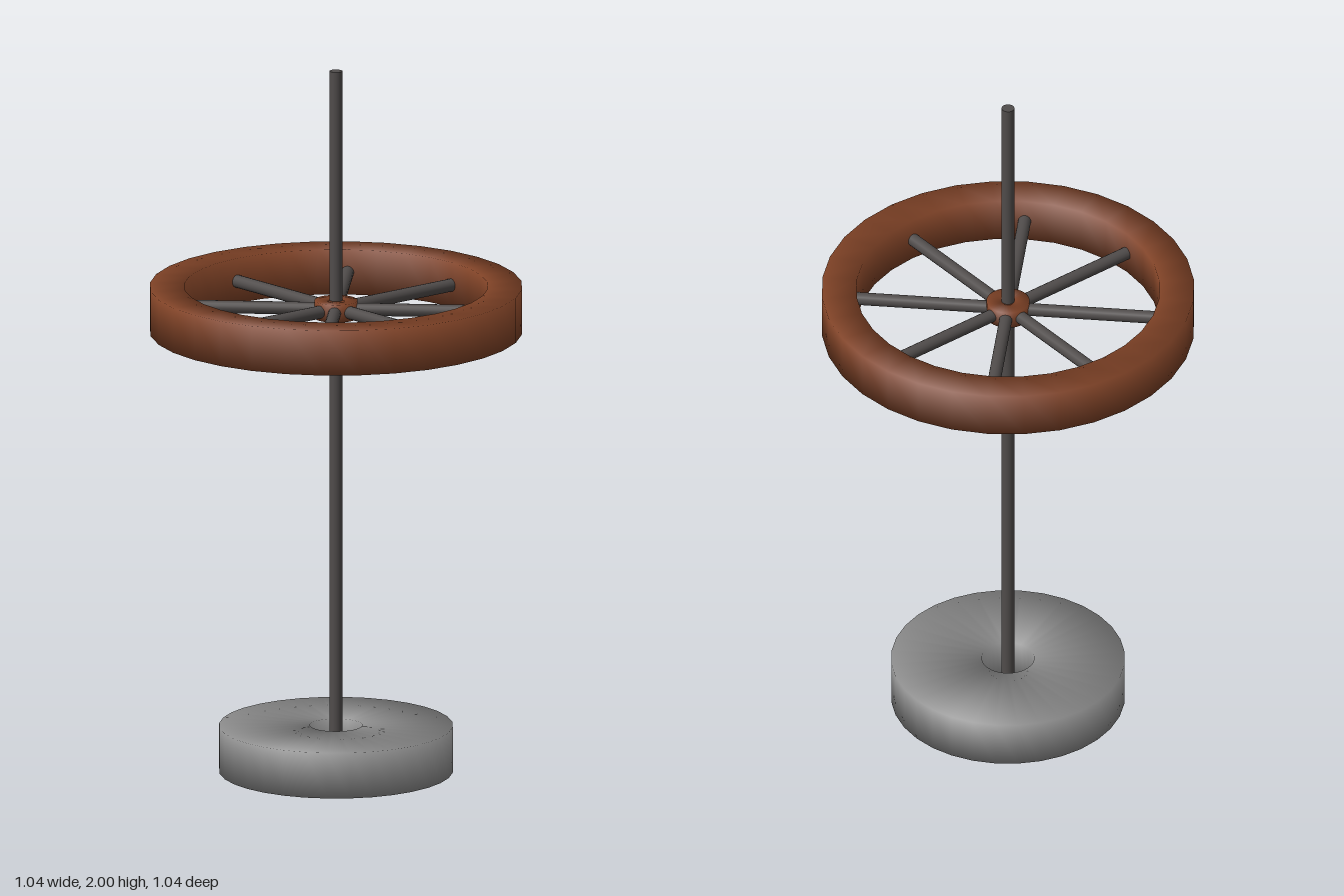
import * as THREE from 'three';

const SIDES = 32;

// Square-section ring, softly shaded across its four edges
function ringGeometry(inner, outer, y0, y1) {
  const profile = [[outer, y0], [outer, y1], [inner, y1], [inner, y0], [outer, y0]]
    .map(([r, y]) => new THREE.Vector2(r, y));
  const geo = new THREE.LatheGeometry(profile, SIDES);
  const pos = geo.attributes.position, nor = geo.attributes.normal;
  const midR = (inner + outer) / 2, midY = (y0 + y1) / 2;
  for (let i = 0; i < pos.count; i++) {
    const x = pos.getX(i), z = pos.getZ(i), r = Math.hypot(x, z);
    const out = (r > midR ? 1 : -1) * Math.SQRT1_2;
    const up = (pos.getY(i) > midY ? 1 : -1) * Math.SQRT1_2;
    nor.setXYZ(i, out * x / r, up, out * z / r);
  }
  return geo;
}

export function createModel() {
  const model = new THREE.Group();
  const wood = new THREE.MeshStandardMaterial({ name: 'brown wood', color: 0x7f4226 });
  const stone = new THREE.MeshStandardMaterial({ name: 'grey stone', color: 0x8c8c8c });
  const iron = new THREE.MeshStandardMaterial({ name: 'dark iron', color: 0x504c4b });

  const add = (name, geo, mat, parent = model) => {
    const mesh = new THREE.Mesh(geo, mat);
    mesh.name = name;
    parent.add(mesh);
    return mesh;
  };

  // Foot and pole
  add('base', ringGeometry(0.073, 0.325, 0, 0.13), stone);
  add('pole', new THREE.CylinderGeometry(0.018, 0.018, 2, 16), iron).position.y = 1;

  // Wheel around the pole
  const wheel = new THREE.Group();
  wheel.name = 'wheel';
  wheel.position.y = 1.32;
  model.add(wheel);
  add('rim', ringGeometry(0.422, 0.518, -0.063, 0.065), wood, wheel);
  add('hub', ringGeometry(0.017, 0.06, -0.025, 0.025), wood, wheel);

  // Eight spokes from hub to rim
  const spoke = new THREE.CylinderGeometry(0.018, 0.018, 0.39, 16);
  spoke.rotateZ(Math.PI / 2);
  spoke.translate(0.24, 0, 0);
  for (let i = 0; i < 8; i++) {
    add('spoke', spoke, iron, wheel).rotation.y = i * Math.PI / 4;
  }

  return model;
}
